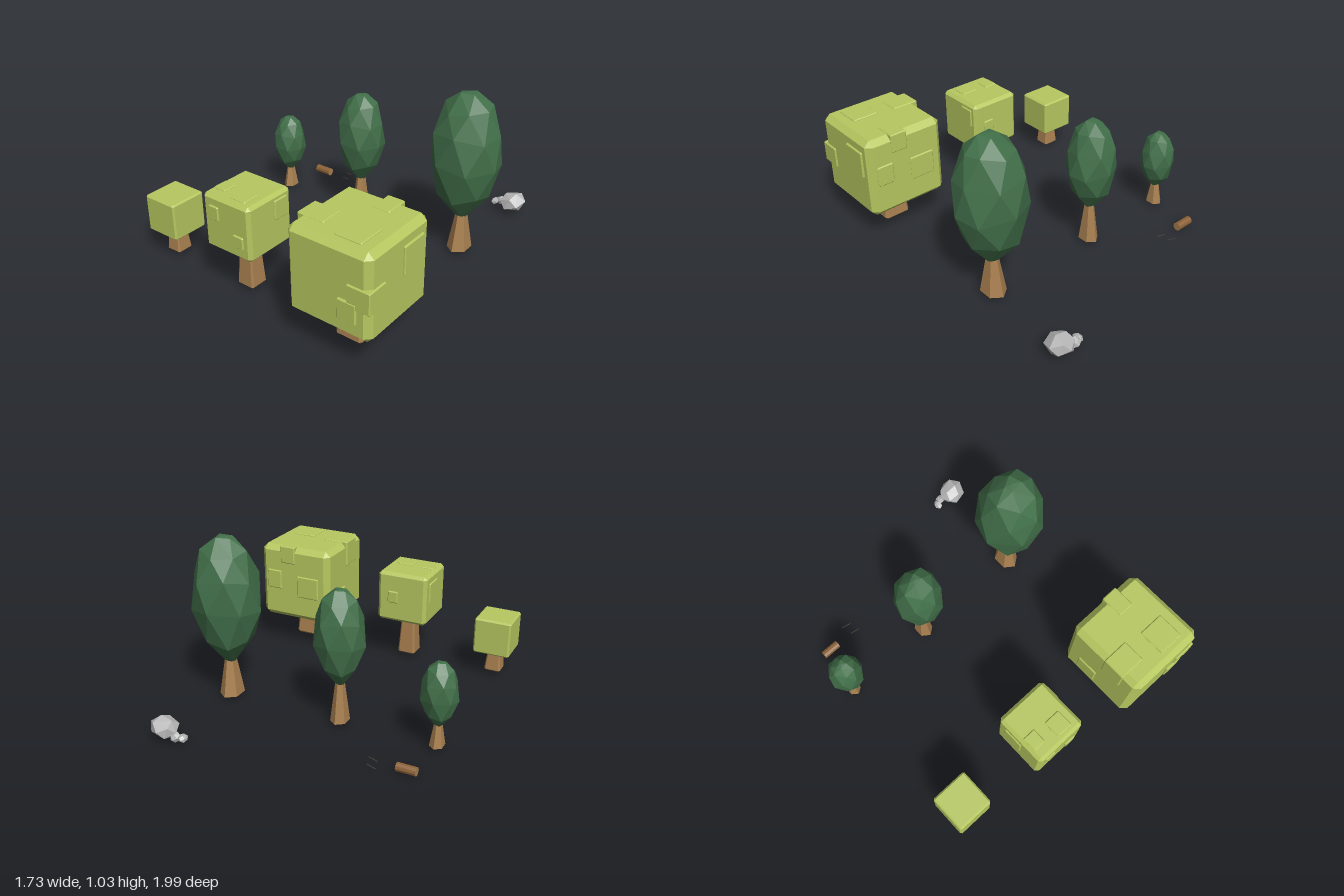
import * as THREE from 'three';
import { ConvexGeometry } from 'three/addons/geometries/ConvexGeometry.js';

const mat = (name, color) => {
  const m = new THREE.MeshStandardMaterial({ color, flatShading: true });
  m.name = name;
  return m;
};

export function createModel() {
  const root = new THREE.Group();
  root.name = 'treeSet';
  const lime = mat('limeLeaves', 0xb7c860);
  const dark = mat('darkLeaves', 0x42704a);
  const bark = mat('bark', 0xa98050);
  const logBark = mat('logBark', 0x8c6238);
  const stone = mat('stone', 0xb8b8b8);
  const twigMat = mat('twig', 0x4a443c);

  const add = (parent, name, geo, material, x = 0, y = 0, z = 0) => {
    const m = new THREE.Mesh(geo, material);
    m.name = name;
    m.position.set(x, y, z);
    parent.add(m);
    return m;
  };

  // Box with flat chamfers; the top can be narrower than the bottom
  const chamferBox = (w, h, d, c, taper = 1) => {
    const pts = [];
    for (const sx of [-1, 1]) for (const sy of [-1, 1]) for (const sz of [-1, 1]) {
      for (let a = 0; a < 3; a++) {
        const k = sy > 0 ? taper : 1;
        pts.push(new THREE.Vector3(
          sx * (w / 2 - (a === 0 ? 0 : c)) * k,
          sy * (h / 2 - (a === 1 ? 0 : c)),
          sz * (d / 2 - (a === 2 ? 0 : c)) * k));
      }
    }
    return new ConvexGeometry(pts);
  };

  // Block from [min, max] ranges on each axis
  const block = (parent, name, [x0, x1], [y0, y1], [z0, z1], c, material) =>
    add(parent, name, chamferBox(x1 - x0, y1 - y0, z1 - z0, c), material,
      (x0 + x1) / 2, (y0 + y1) / 2, (z0 + z1) / 2);

  // Cube-crowned trees, with raised leaf patches given as x, y, z ranges
  const cubeTrees = [
    { name: 'smallCubeTree', x: -0.745, z: 0.73, s: 0.235, y: 0.173, c: 0.01, foot: 0.105, taper: 0.72, patches: [] },
    {
      name: 'mediumCubeTree', x: -0.145, z: 0.73, s: 0.335, y: 0.3, c: 0.02, foot: 0.118, taper: 0.72,
      patches: [
        [[-0.265, -0.195], [0.485, 0.575], [0.87, 0.906]],
        [[-0.097, -0.023], [0.37, 0.448], [0.87, 0.906]],
        [[-0.292, -0.208], [0.61, 0.643], [0.735, 0.828]],
        [[-0.142, -0.034], [0.61, 0.643], [0.75, 0.86]],
        [[0, 0.03], [0.48, 0.6], [0.6, 0.7]],
        [[-0.32, -0.29], [0.44, 0.58], [0.62, 0.75]],
        [[-0.12, -0.05], [0.43, 0.51], [0.555, 0.59]],
      ],
    },
    {
      name: 'largeCubeTree', x: 0.6, z: 0.73, s: 0.51, y: 0.212, c: 0.035, foot: 0.17, taper: 0.81,
      patches: [
        [[0.722, 0.864], [0.4, 0.53], [0.86, 0.994]],
        [[0.668, 0.782], [0.313, 0.432], [0.95, 0.997]],
        [[0.82, 0.866], [0.475, 0.642], [0.54, 0.708]],
        [[0.335, 0.502], [0.56, 0.729], [0.735, 0.875]],
        [[0.602, 0.765], [0.69, 0.731], [0.758, 0.925]],
        [[0.595, 0.7], [0.61, 0.729], [0.467, 0.608]],
        [[0.7, 0.805], [0.42, 0.55], [0.467, 0.51]],
        [[0.42, 0.58], [0.38, 0.53], [0.467, 0.51]],
        [[0.337, 0.38], [0.283, 0.42], [0.58, 0.72]],
      ],
    },
  ];
  for (const t of cubeTrees) {
    const g = new THREE.Group();
    g.name = t.name;
    root.add(g);
    const h = t.y - 0.03 + 0.02;
    add(g, 'trunk', chamferBox(t.foot, h, t.foot, t.foot * 0.09, t.taper), bark, t.x, 0.03 + h / 2, t.z);
    add(g, 'cubeCrown', chamferBox(t.s, t.s, t.s, t.c), lime, t.x, t.y + t.s / 2, t.z);
    for (const [px, py, pz] of t.patches) block(g, 'leafPatch', px, py, pz, 0.006, lime);
  }

  // Faceted egg crown: uneven seven-sided rings, alternately turned
  const corners = [8, 60, 112, 172, 217, 270, 326].map(THREE.MathUtils.degToRad);
  const rings = [[0, 0.13, 0], [0.2, 0.74, 0.4], [0.46, 1, 0], [0.7, 0.93, 0.4], [0.88, 0.66, 0], [0.98, 0.25, 0.4]];
  const crown = (r, h) => {
    const pts = [new THREE.Vector3(-0.05 * r, h, 0)];
    rings.forEach(([fy, fr, turn], i) => corners.forEach((a, j) => {
      const y = h * (fy + (i ? 0.025 * Math.sin(j * 2.3 + i * 1.7) : 0));
      pts.push(new THREE.Vector3(Math.cos(a + turn) * r * fr, Math.min(y, h * 0.995), Math.sin(a + turn) * r * fr));
    }));
    return new ConvexGeometry(pts);
  };
  const eggTrees = [
    ['smallEggTree', -0.745, 0.108, 0.15, 0.54, 0.056],
    ['mediumEggTree', -0.145, 0.152, 0.26, 0.845, 0.07],
    ['largeEggTree', 0.6, 0.214, 0.245, 1.04, 0.09],
  ];
  for (const [name, x, r, y0, y1, foot] of eggTrees) {
    const g = new THREE.Group();
    g.name = name;
    root.add(g);
    const h = y0 + 0.04 - 0.03;
    add(g, 'trunk', new THREE.CylinderGeometry(foot * 0.42, foot, h, 6), bark, x, 0.03 + h / 2, -0.31).scale.x = 0.78;
    add(g, 'eggCrown', crown(r, y1 - y0), dark, x, y0, -0.31);
  }

  // Rocks: irregular hulls with flattened bases
  const rock = (name, x, z, rx, ry, rz, seed) => {
    const pts = [];
    for (let i = 0; i < 16; i++) {
      const v = 1 - (2 * i + 1) / 16, a = i * 2.4 + seed, q = Math.sqrt(1 - v * v);
      const k = 0.96 + 0.1 * Math.sin(i * 4.1 + seed);
      pts.push(new THREE.Vector3(Math.cos(a) * q * rx * k, Math.max(v * ry * k, -ry * 0.8), Math.sin(a) * q * rz * k));
    }
    add(root, name, new ConvexGeometry(pts), stone, x, 0.03 + ry * 0.8, z);
  };
  rock('largeRock', 0.645, -0.915, 0.09, 0.07, 0.086, 0.5);
  rock('smallRock', 0.563, -0.93, 0.034, 0.032, 0.032, 2);
  rock('smallRock', 0.525, -0.915, 0.026, 0.024, 0.036, 4);

  // Fallen log with pale cut ends
  const log = add(root, 'log', new THREE.CylinderGeometry(0.026, 0.026, 0.115, 10),
    [logBark, bark, bark], -0.688, 0.03, -0.605);
  log.rotation.z = Math.PI / 2;

  // Thin twigs on the ground
  for (const [x, z, turn] of [[-0.51, -0.665, -0.25], [-0.49, -0.597, -0.2]]) {
    const twig = add(root, 'twig', new THREE.BoxGeometry(0.06, 0.003, 0.004), twigMat, x, 0.028, z);
    twig.rotation.set(0, turn, 0.1);
  }
  return root;
}
